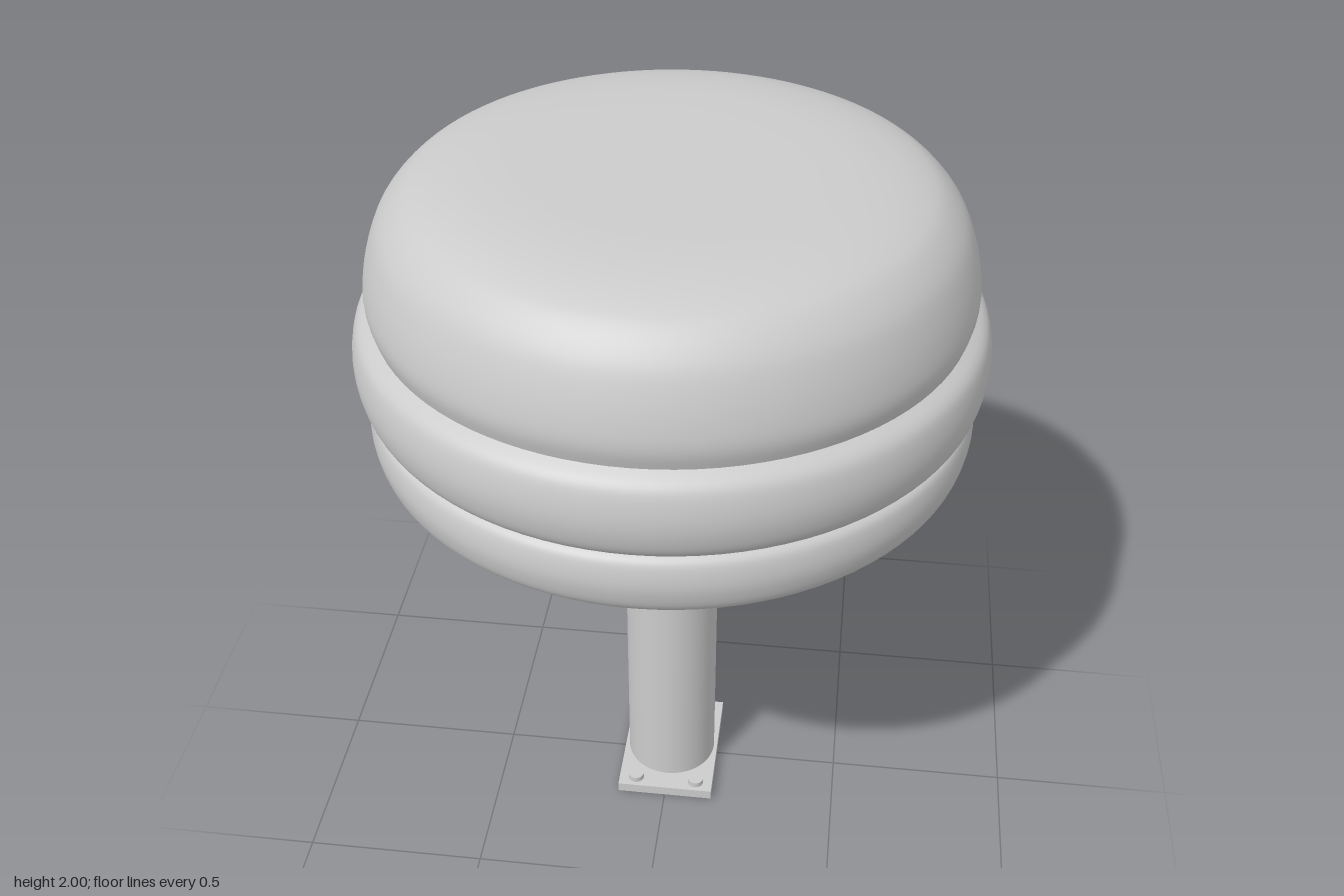
import * as THREE from 'three';

const material = new THREE.MeshStandardMaterial({ color: 0xcccccc });

function createPart(parent, name, geometry, x = 0, y = 0, z = 0) {
  const mesh = new THREE.Mesh(geometry, material);
  mesh.name = name;
  mesh.position.set(x, y, z);
  parent.add(mesh);
  return mesh;
}

// Revolves a smooth curve through [radius, height] points, listed bottom to top
function padded(points, samples = 40) {
  const curve = new THREE.SplineCurve(points.map(([r, y]) => new THREE.Vector2(r, y)));
  const profile = curve.getPoints(samples).map((p) => new THREE.Vector2(Math.max(p.x, 0), p.y));
  return new THREE.LatheGeometry(profile, 96);
}

export function createModel() {
  const model = new THREE.Group();
  model.name = 'stool';

  // Floor plate with four bolts
  createPart(model, 'basePlate', new THREE.BoxGeometry(0.28, 0.03, 0.38), 0, 0.015, 0);
  for (const x of [-1, 1]) {
    for (const z of [-1, 1]) {
      createPart(model, 'bolt', new THREE.CylinderGeometry(0.023, 0.023, 0.02, 20), x * 0.09, 0.037, z * 0.155);
    }
  }

  // Post and the square plate under the seat
  createPart(model, 'post', new THREE.CylinderGeometry(0.13, 0.13, 1.18, 64), 0, 0.615, 0);
  createPart(model, 'seatPlate', new THREE.BoxGeometry(0.5, 0.03, 0.5), 0, 1.217, 0);

  // Seat: two padded rings with a domed cushion on top
  const seat = new THREE.Group();
  seat.name = 'seat';
  model.add(seat);

  createPart(seat, 'lowerRing', padded([
    [0.69, 1.23], [0.735, 1.237], [0.763, 1.265], [0.777, 1.31],
    [0.779, 1.35], [0.771, 1.39], [0.755, 1.408], [0.735, 1.415],
  ]));
  createPart(seat, 'middleRing', padded([
    [0.735, 1.411], [0.765, 1.42], [0.788, 1.45], [0.801, 1.5],
    [0.802, 1.55], [0.792, 1.6], [0.775, 1.627], [0.745, 1.647],
  ]));
  createPart(seat, 'topCushion', padded([
    [0.744, 1.64], [0.757, 1.69], [0.755, 1.74], [0.738, 1.81], [0.708, 1.88],
    [0.66, 1.935], [0.61, 1.964], [0.53, 1.985], [0.42, 1.997], [0.25, 2], [0, 2],
  ], 60));

  // Flat underside of the seat
  const underside = createPart(seat, 'underside', new THREE.CircleGeometry(0.69, 96), 0, 1.23, 0);
  underside.rotation.x = Math.PI / 2;

  return model;
}
